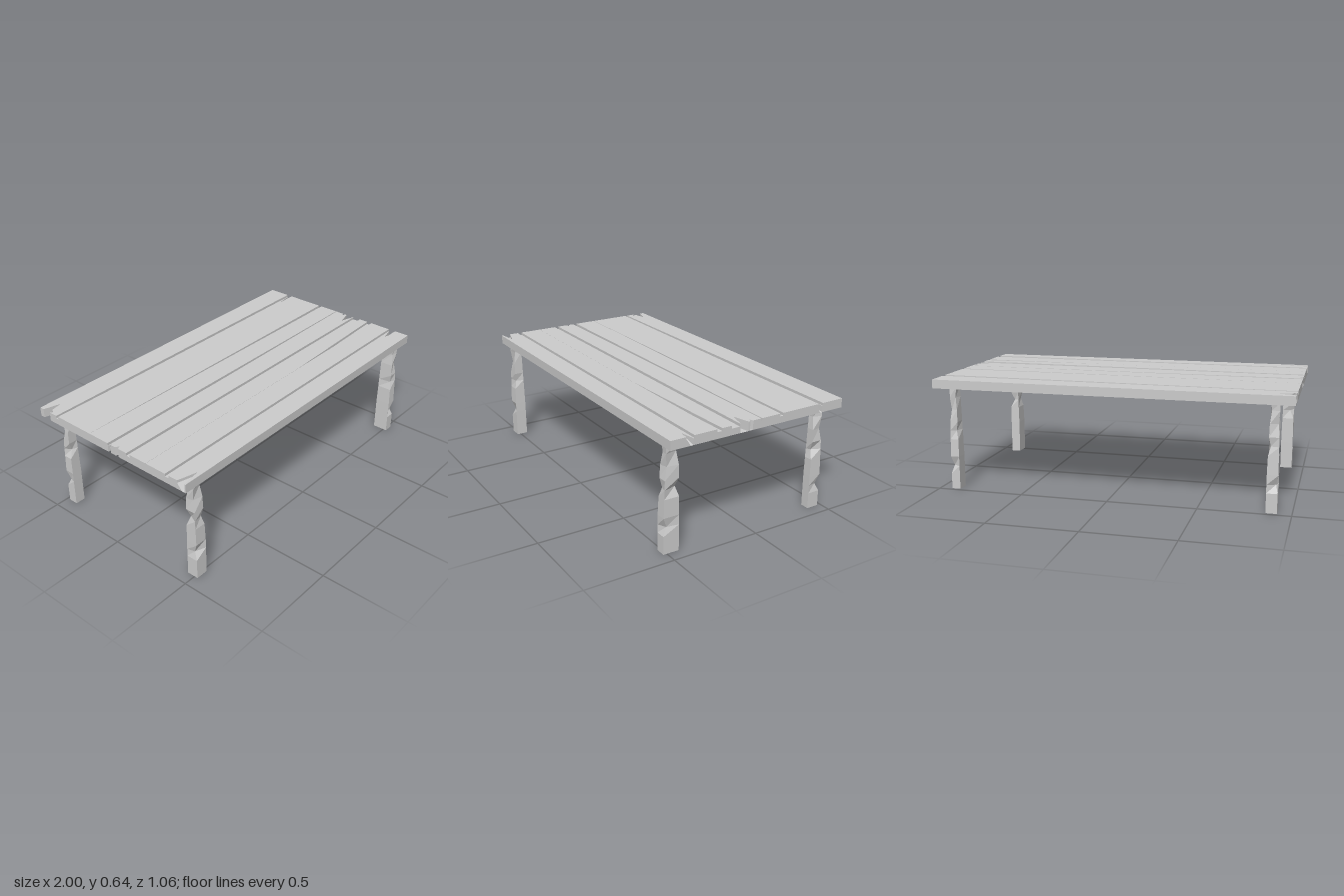
import * as THREE from 'three';

const material = new THREE.MeshStandardMaterial({ color: 0xcccccc, flatShading: true });

// Splits in the board ends as [x, z] points, ascending z; "sloped" ones fade out at the underside.
const rightChips = [
  { sloped: true, pts: [[1, -0.398], [0.87, -0.383], [1, -0.366]] },
  { pts: [[1, 0.05], [0.98, 0.06], [1, 0.068]] },
  { pts: [[1, 0.078], [0.91, 0.103], [1, 0.127]] },
  { sloped: true, pts: [[1, 0.4], [0.92, 0.415], [1, 0.438]] },
];
const leftChips = [
  { pts: [[-1, -0.503], [-0.905, -0.476], [-0.975, -0.463], [-0.985, -0.44], [-1, -0.452]] },
  { pts: [[-1, -0.003], [-0.94, 0.009], [-1, 0.017]] },
  { pts: [[-1, 0.05], [-0.98, 0.062], [-1, 0.072]] },
  { sloped: true, pts: [[-1, 0.475], [-0.89, 0.505], [-1, 0.522]] },
];

// Horizontal board from z values at its left and right ends, with the splits that fall inside it.
function board(name, [l0, r0, r1, l1], y0, y1, extra = []) {
  const within = (chips, a, b) => chips.filter((c) => c.pts[0][1] > a && c.pts.at(-1)[1] < b);
  const right = within(rightChips, r0, r1);
  const left = within(leftChips, l0, l1);
  const outline = [
    [-1, l0], [1, r0], ...right.flatMap((c) => c.pts), [1, r1], ...extra, [-1, l1],
    ...left.flatMap((c) => c.pts).reverse(),
  ];
  const shape = new THREE.Shape(outline.map(([x, z]) => new THREE.Vector2(x, z)));
  const geo = new THREE.ExtrudeGeometry(shape, { depth: y1 - y0, bevelEnabled: false });
  geo.rotateX(Math.PI / 2).translate(0, y1, 0);

  // Push the lower tip of each sloped split back to the board end
  const pos = geo.attributes.position;
  const tips = [...right, ...left].filter((c) => c.sloped && y0 < 0.6).map((c) => c.pts[1]);
  for (let i = 0; i < pos.count; i++) {
    if (pos.getY(i) > y0 + 0.001) continue;
    for (const [x, z] of tips) {
      if (Math.abs(pos.getX(i) - x) + Math.abs(pos.getZ(i) - z) < 0.001) pos.setX(i, Math.sign(x));
    }
  }
  geo.computeVertexNormals();
  const mesh = new THREE.Mesh(geo, material);
  mesh.name = name;
  return mesh;
}

// Rough-hewn leg: a tall box whose rings taper towards the top, with bites out of two corners.
function leg(name, sx, sz, xIn, xOut, zIn, zOut, shift) {
  const heights = [0, 0.1, 0.145, 0.2, 0.3, 0.35, 0.4, 0.47, 0.54, 0.59];
  const outerBite = { 2: 0.022, 7: 0.012 };
  const innerBite = { 5: 0.022, 8: 0.014 };
  const n = heights.length - 1;
  const geo = new THREE.BoxGeometry(1, 1, 1, 1, n, 1);
  const pos = geo.attributes.position;
  for (let i = 0; i < pos.count; i++) {
    const ring = Math.round((pos.getY(i) + 0.5) * n);
    const y = heights[ring] + (ring > 0 && ring < n ? shift : 0);
    const t = Math.max(0, (y - 0.2) / 0.39);
    const outX = pos.getX(i) * sx > 0;
    const outZ = pos.getZ(i) * sz > 0;
    let x = outX ? xOut - 0.004 * t : xIn + 0.008 * t;
    let z = outZ ? zOut - 0.014 * t : zIn + 0.004 * t;
    if (outX && outZ) {
      x -= (outerBite[ring] ?? 0) * 0.5;
      z -= outerBite[ring] ?? 0;
    }
    if (outX !== outZ) {
      const bite = innerBite[ring] ?? 0;
      x += outX ? -bite : bite * 0.5;
      z += outZ ? -bite * 0.5 : bite * 0.5;
    }
    pos.setXYZ(i, sx * x, y, sz * z);
  }
  geo.computeVertexNormals();
  const mesh = new THREE.Mesh(geo, material);
  mesh.name = name;
  return mesh;
}

export function createModel() {
  const table = new THREE.Group();
  table.name = 'table';

  // Solid slab that shows at the bottom of the gaps
  table.add(board('slab', [-0.53, -0.53, 0.53, 0.53], 0.59, 0.625));

  // Planks: z at back left, back right, front right, front left
  const planks = [
    [-0.53, -0.53, -0.4, -0.4],
    [-0.385, -0.365, -0.14, -0.14],
    [-0.139, -0.12, -0.005, -0.005],
    [0.02, 0, 0.13, 0.13],
    [0.155, 0.18, 0.235, 0.264],
    [0.265, 0.265, 0.395, 0.395],
    [0.42, 0.44, 0.53, 0.53],
  ];
  const top = new THREE.Group();
  top.name = 'planks';
  planks.forEach((p, i) => {
    // The fifth plank touches its neighbour until partway along
    top.add(board(`plank${i + 1}`, p, 0.625, 0.64, i === 4 ? [[0.22, 0.264]] : []));
  });
  table.add(top);

  // Legs, each a little different
  table.add(
    leg('frontLeftLeg', 1, 1, 0.875, 0.93, 0.43, 0.52, 0),
    leg('frontRightLeg', -1, 1, 0.86, 0.93, 0.455, 0.52, 0.015),
    leg('backLeftLeg', 1, -1, 0.88, 0.93, 0.41, 0.48, -0.01),
    leg('backRightLeg', -1, -1, 0.862, 0.922, 0.425, 0.48, 0.008),
  );
  return table;
}
